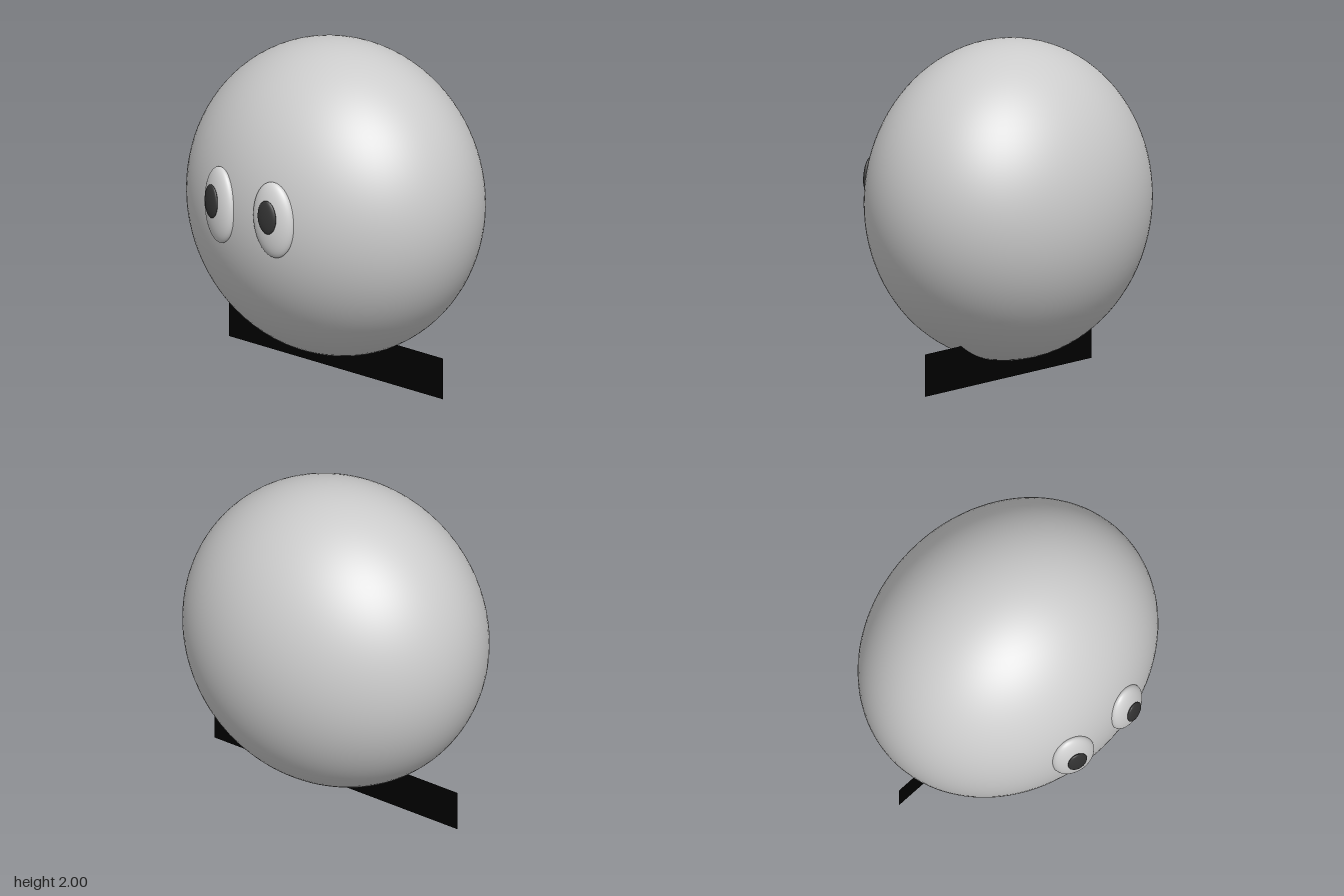
import * as THREE from 'three';

const bodyGrey = new THREE.MeshStandardMaterial({ name: 'bodyGrey', color: 0xcccccc });
const eyeGrey = new THREE.MeshStandardMaterial({ name: 'eyeGrey', color: 0xd2d2d2 });
const pupilGrey = new THREE.MeshStandardMaterial({ name: 'pupilGrey', color: 0x333333 });
const baseBlack = new THREE.MeshStandardMaterial({ name: 'baseBlack', color: 0x000000, side: THREE.DoubleSide });

const CENTRE = new THREE.Vector3(0, 1.055, -0.025);
const RADII = new THREE.Vector3(0.945, 0.945, 0.795);

// Smooth ellipsoid scaled from a unit sphere
function ellipsoid(name, material, radii, segments) {
  const geometry = new THREE.SphereGeometry(1, segments, segments / 2);
  geometry.scale(...radii);
  const mesh = new THREE.Mesh(geometry, material);
  mesh.name = name;
  return mesh;
}

// Depth of the body's front surface at a given x, y
function surfaceZ(x, y) {
  const u = (x - CENTRE.x) / RADII.x;
  const v = (y - CENTRE.y) / RADII.y;
  return CENTRE.z + RADII.z * Math.sqrt(1 - u * u - v * v);
}

// Flattened eye and pupil, turned to follow the curve of the body
function makeEye(name, x, pupilX) {
  const eye = new THREE.Group();
  eye.name = name;
  const yaw = Math.sign(x) * 0.21;
  const y = 1.13;

  const white = ellipsoid('eyeball', eyeGrey, [0.136, 0.226, 0.062], 48);
  white.position.set(x, y, surfaceZ(x, y) - 0.01);
  white.rotation.set(-0.07, yaw, 0.14);

  const pupil = ellipsoid('pupil', pupilGrey, [0.062, 0.1, 0.02], 32);
  pupil.position.set(pupilX, 1.16, 0.798);
  pupil.rotation.set(-0.07, yaw, 0.14);

  eye.add(white, pupil);
  return eye;
}

export function createModel() {
  const model = new THREE.Group();
  model.name = 'roundCreature';

  // Body
  const body = ellipsoid('body', bodyGrey, RADII.toArray(), 96);
  body.position.copy(CENTRE);
  model.add(body);

  // Eyes
  model.add(makeEye('rightEye', -0.198, -0.215));
  model.add(makeEye('leftEye', 0.232, 0.238));

  // Thin upright base strip through the middle of the body
  const base = new THREE.Mesh(new THREE.PlaneGeometry(1.74, 0.25), baseBlack);
  base.name = 'baseStrip';
  base.position.set(0, 0.125, CENTRE.z);
  model.add(base);

  return model;
}
